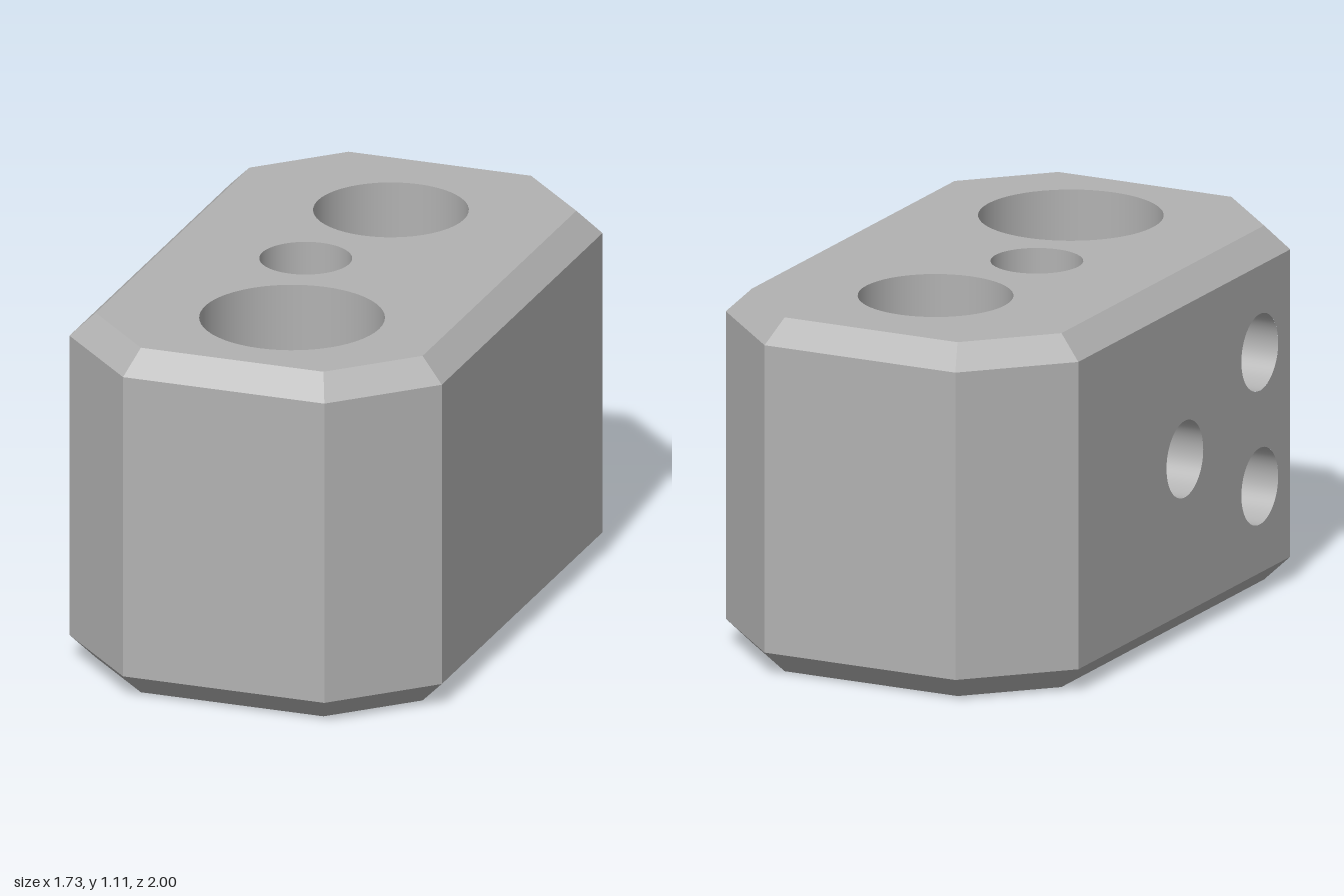
import * as THREE from 'three';

// Block dimensions in its own frame (x across, z along)
const W = 0.599, L = 0.967, H = 1.11, CUT = 0.275, BEVEL = 0.073;
const SIDE_R = 0.12, STEPS = 48;

// Vertical bores; 'ports' are heights of the side holes that run into them
const bores = [
  { name: 'largeBore', x: 0.043, z: 0.493, r: 0.28, floor: 0, ports: [0.345, 0.765] },
  { name: 'mediumBore', x: 0, z: -0.473, r: 0.235, floor: 0, ports: [] },
  { name: 'smallBore', x: -0.096, z: 0.004, r: 0.14, floor: 0.43, ports: [0.555] },
];

// Octagonal outline, moved inward evenly by d
function outline(d) {
  const w = W - d, l = L - d, k = CUT - d * (2 - Math.SQRT2);
  return [[w, l - k], [w, k - l], [w - k, -l], [k - w, -l], [-w, k - l], [-w, l - k], [k - w, l], [w - k, l]];
}

// Collects quads, with given normals or flat ones
function sheet() {
  const pos = [], nor = [];
  return {
    quad(p, n) {
      if (!n) {
        const [a, b, c] = p.slice(0, 3).map((q) => new THREE.Vector3(...q));
        const f = b.sub(a).cross(c.sub(a)).normalize().toArray();
        n = [f, f, f, f];
      }
      for (const i of [0, 1, 2, 0, 2, 3]) {
        pos.push(...p[i]);
        nor.push(...n[i]);
      }
    },
    build() {
      const g = new THREE.BufferGeometry();
      g.setAttribute('position', new THREE.Float32BufferAttribute(pos, 3));
      g.setAttribute('normal', new THREE.Float32BufferAttribute(nor, 3));
      return g;
    },
  };
}

// Angles around a bore, measured from -x, with columns that meet the side holes
function boreAngles(b) {
  const edge = b.ports.length ? Math.asin(SIDE_R / b.r) : 0;
  const out = [];
  if (edge) {
    for (let j = 0; j < STEPS / 2; j++) {
      out.push(Math.asin((-SIDE_R * Math.cos((j * 2 * Math.PI) / STEPS)) / b.r));
    }
  }
  for (let j = 0; j <= STEPS; j++) out.push(edge + ((2 * Math.PI - 2 * edge) * j) / STEPS);
  return out;
}
const borePoint = (b, t) => [b.x - b.r * Math.cos(t), b.z + b.r * Math.sin(t)];

// Bore wall, left open where side holes enter
function boreWall(b) {
  const s = sheet(), angles = boreAngles(b);
  const levels = (t) => {
    const h = Math.cos(t) > 0 ? Math.sqrt(Math.max(0, SIDE_R ** 2 - (b.r * Math.sin(t)) ** 2)) : 0;
    return [b.floor, ...b.ports.flatMap((y) => [y - h, y + h]), H];
  };
  for (let i = 0; i + 1 < angles.length; i++) {
    const [t, u] = [angles[i], angles[i + 1]];
    const [p, q] = [borePoint(b, t), borePoint(b, u)];
    const [a, c] = [levels(t), levels(u)];
    const n = [Math.cos(t), 0, -Math.sin(t)], m = [Math.cos(u), 0, -Math.sin(u)];
    for (let k = 0; k < a.length; k += 2) {
      s.quad([[q[0], c[k], q[1]], [p[0], a[k], p[1]], [p[0], a[k + 1], p[1]], [q[0], c[k + 1], q[1]]], [m, n, n, m]);
    }
  }
  return s.build();
}

// Side hole from the flat face to the curved bore wall
function sideHole(b, y) {
  const s = sheet();
  const at = (j) => {
    const f = (j * 2 * Math.PI) / STEPS, c = SIDE_R * Math.cos(f), v = SIDE_R * Math.sin(f);
    const inner = b.x - Math.sqrt(b.r ** 2 - c ** 2);
    return { o: [-W, y + v, b.z + c], i: [inner, y + v, b.z + c], n: [0, -Math.sin(f), -Math.cos(f)] };
  };
  for (let j = 0; j < STEPS; j++) {
    const p = at(j), q = at(j + 1);
    s.quad([p.o, q.o, q.i, p.i], [p.n, q.n, q.n, p.n]);
  }
  return s.build();
}

// Flat octagonal face pierced by bores; sign flips z for the upward face
function face(list, sign) {
  const v = ([x, z]) => new THREE.Vector2(x, sign * z);
  const shape = new THREE.Shape(outline(BEVEL).map(v));
  for (const b of list) {
    shape.holes.push(new THREE.Path(boreAngles(b).slice(0, -1).map((t) => v(borePoint(b, t)))));
  }
  return new THREE.ShapeGeometry(shape).rotateX((sign * Math.PI) / 2);
}

export function createModel() {
  const metal = new THREE.MeshStandardMaterial({ color: 0xb2b2b2 });
  metal.name = 'plain grey';
  const model = new THREE.Group();
  model.name = 'drilledBlock';
  const add = (name, geometry) => {
    const mesh = new THREE.Mesh(geometry, metal);
    mesh.name = name;
    model.add(mesh);
    return mesh;
  };

  // Upright sides and the bevels above and below; the drilled side is separate
  const rings = [[0, BEVEL], [BEVEL, 0], [H - BEVEL, 0], [H, BEVEL]];
  ['lowerBevel', 'sides', 'upperBevel'].forEach((name, k) => {
    const s = sheet();
    const [y0, d0] = rings[k], [y1, d1] = rings[k + 1];
    const lo = outline(d0), hi = outline(d1);
    for (let i = 0; i < 8; i++) {
      if (k === 1 && i === 4) continue;
      const j = (i + 1) % 8;
      s.quad([[lo[i][0], y0, lo[i][1]], [lo[j][0], y0, lo[j][1]], [hi[j][0], y1, hi[j][1]], [hi[i][0], y1, hi[i][1]]]);
    }
    add(name, s.build());
  });

  // Drilled side
  const e = L - CUT;
  const side = new THREE.Shape([[-e, BEVEL], [e, BEVEL], [e, H - BEVEL], [-e, H - BEVEL]].map((p) => new THREE.Vector2(...p)));
  for (const b of bores) {
    for (const y of b.ports) side.holes.push(new THREE.Path().absarc(b.z, y, SIDE_R, 0, 2 * Math.PI));
  }
  add('drilledSide', new THREE.ShapeGeometry(side, STEPS).rotateY(-Math.PI / 2)).position.x = -W;

  // Top and bottom faces
  add('topFace', face(bores, -1)).position.y = H;
  add('bottomFace', face(bores.filter((b) => b.floor === 0), 1));

  // Bores, side holes and the floor of the blind bore
  for (const b of bores) {
    add(b.name, boreWall(b));
    for (const y of b.ports) add('sideHole', sideHole(b, y));
    if (b.floor > 0) {
      add('boreFloor', new THREE.CircleGeometry(b.r, STEPS).rotateX(-Math.PI / 2)).position.set(b.x, b.floor, b.z);
    }
  }

  model.rotation.y = -Math.PI / 6;
  const root = new THREE.Group();
  root.name = 'block';
  root.add(model);
  return root;
}
